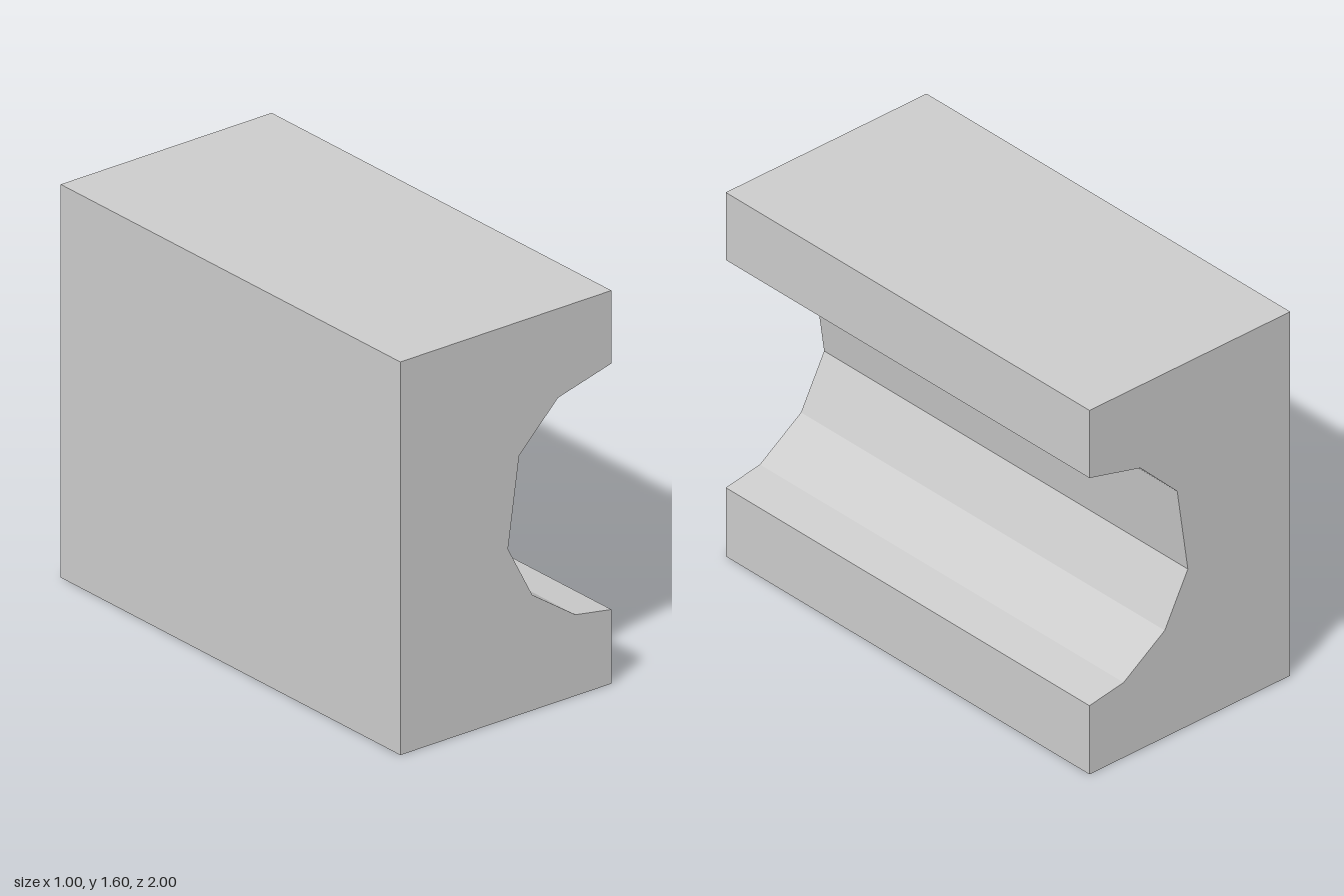
import * as THREE from 'three';

export function createModel() {
  const group = new THREE.Group();
  group.name = 'groovedBlock';
  const length = 2;

  // Cross-section: a rectangle with a faceted round groove in its +x side
  const profile = [
    [-0.5, 0], [0.5, 0], [0.5, 0.302],
    [0.33, 0.33], [0.125, 0.47], [0.01, 0.69], [0.063, 1.055], [0.247, 1.237],
    [0.5, 1.303], [0.5, 1.6], [-0.5, 1.6],
  ];
  const shape = new THREE.Shape(profile.map(([x, y]) => new THREE.Vector2(x, y)));

  // Straight sweep from back to front
  const geometry = new THREE.ExtrudeGeometry(shape, { depth: length, bevelEnabled: false });
  geometry.translate(0, 0, -length / 2);

  const block = new THREE.Mesh(
    geometry,
    new THREE.MeshStandardMaterial({ color: 0xcccccc, flatShading: true }),
  );
  block.name = 'block';
  group.add(block);
  return group;
}
